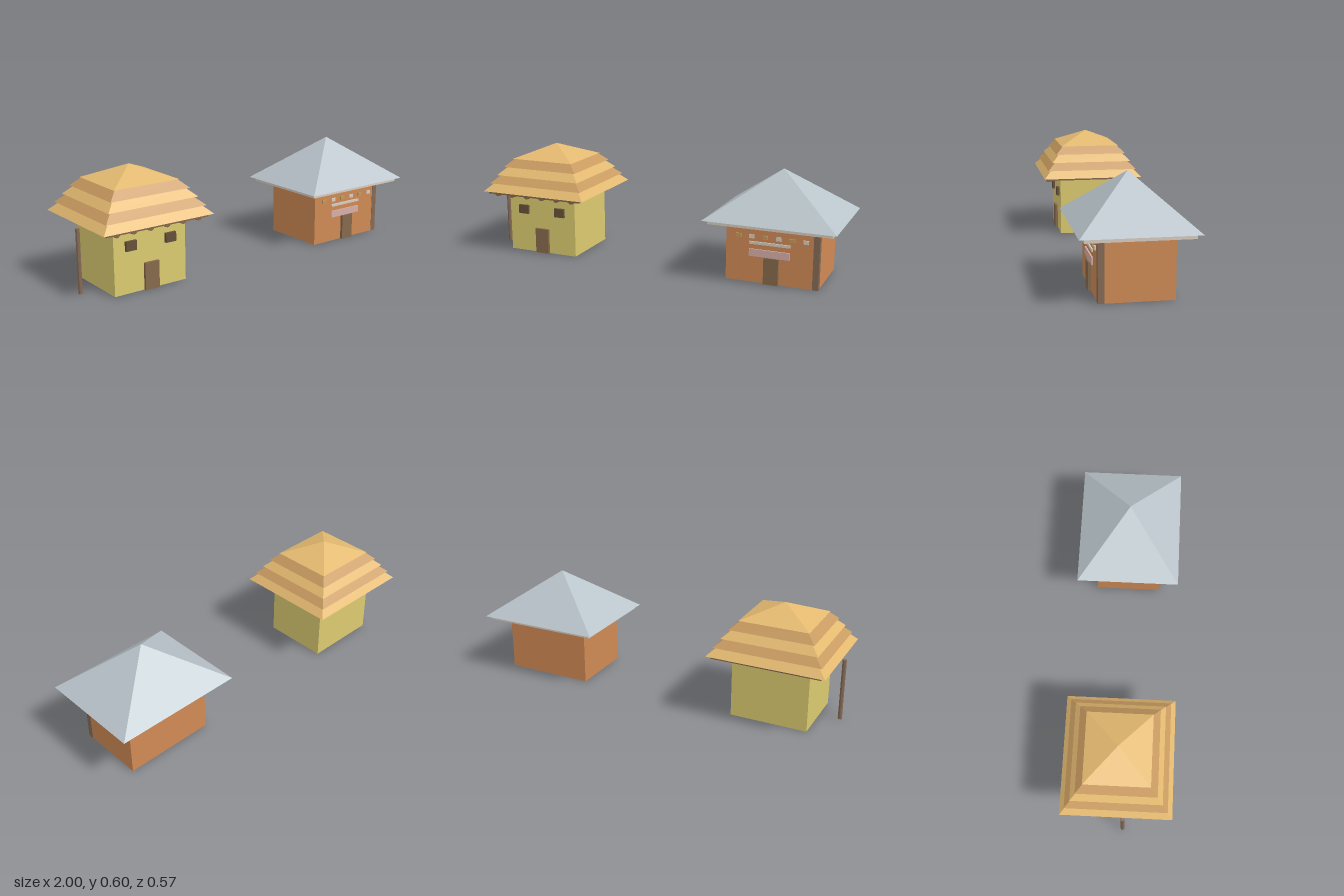
import * as THREE from 'three';

const material = (color) => new THREE.MeshStandardMaterial({ color, flatShading: true });
const mats = {
  straw: material(0xe3b970),
  strawDark: material(0xc99b60),
  plaster: material(0xdccb70),
  brick: material(0xd08a55),
  slate: material(0xb9c4ca),
  cream: material(0xd8cec2),
  wood: material(0x86694c),
  darkWood: material(0x665038),
  post: material(0x866a55),
  sign: material(0xd8b0a8),
  tan: material(0xc49a5c),
};

function add(parent, name, geometry, mat, x, y, z) {
  const mesh = new THREE.Mesh(geometry, mat);
  mesh.name = name;
  mesh.position.set(x, y, z);
  parent.add(mesh);
  return mesh;
}

// Box given by its centre in x and z and its bottom and top heights
function box(parent, name, mat, w, d, y0, y1, x = 0, z = 0) {
  return add(parent, name, new THREE.BoxGeometry(w, y1 - y0, d), mat, x, (y0 + y1) / 2, z);
}

// Rectangular frustum or pyramid; top is a fraction of the base size
function hip(parent, name, mat, halfX, halfZ, top, y0, y1) {
  const g = new THREE.CylinderGeometry(top * Math.SQRT2, Math.SQRT2, y1 - y0, 4);
  g.rotateY(Math.PI / 4).scale(halfX, 1, halfZ);
  return add(parent, name, g, mat, 0, (y0 + y1) / 2, 0);
}

function thatchedHut() {
  const hut = new THREE.Group();
  hut.name = 'thatchedHut';
  box(hut, 'hutWalls', mats.plaster, 0.41, 0.36, 0, 0.345);
  box(hut, 'hutDoor', mats.wood, 0.08, 0.03, 0, 0.14, 0, 0.18);
  for (const side of [-1, 1]) {
    box(hut, 'hutWindow', mats.darkWood, 0.059, 0.03, 0.219, 0.268, side * 0.113, 0.18);
  }

  // Eave frame with rounded rafter ends along the front
  box(hut, 'eaveFrame', mats.wood, 0.572, 0.54, 0.336, 0.35);
  for (let i = 0; i < 6; i++) {
    const g = new THREE.CylinderGeometry(0.018, 0.018, 0.03, 10).rotateX(Math.PI / 2);
    add(hut, 'rafterEnd', g, mats.wood, (i - 2.5) * 0.0925, 0.342, 0.252);
  }

  // Straw tiers from the eaves up: half depth at the base and at the top
  const tiers = [[0.285, 0.243], [0.26, 0.215], [0.232, 0.189], [0.205, 0.162], [0.169, 0]];
  tiers.forEach(([base, top], i) => {
    const y0 = 0.349 + i * 0.0433;
    const y1 = i === 4 ? 0.597 : y0 + 0.0433;
    hip(hut, 'strawTier', i % 2 ? mats.strawDark : mats.straw, base * 1.088, base, top / base, y0, y1);
  });

  // Free-standing pole beside the hut
  add(hut, 'pole', new THREE.CylinderGeometry(0.011, 0.011, 0.33, 8), mats.post, -0.313, 0.165, 0.035);
  return hut;
}

function brickHouse() {
  const house = new THREE.Group();
  house.name = 'brickHouse';
  box(house, 'houseWalls', mats.brick, 0.485, 0.36, 0, 0.303);
  box(house, 'houseDoor', mats.wood, 0.077, 0.03, 0, 0.14, 0, 0.18);
  box(house, 'cornerPost', mats.post, 0.031, 0.031, 0, 0.303, 0.2285, 0.1665);

  // Plain board and trim above the door
  box(house, 'doorBoard', mats.sign, 0.213, 0.02, 0.14, 0.178, -0.012, 0.177);
  box(house, 'wallTrim', mats.cream, 0.213, 0.02, 0.204, 0.218, -0.012, 0.177);

  // Row of small blocks in alternating colours
  for (let i = 0; i < 6; i++) {
    box(house, 'wallBlock', i % 2 ? mats.cream : mats.tan, 0.027, 0.02, 0.234, 0.253, (i - 2.5) * 0.07, 0.177);
  }

  box(house, 'cornice', mats.cream, 0.642, 0.51, 0.302, 0.324);
  hip(house, 'slateRoof', mats.slate, 0.344, 0.28, 0, 0.323, 0.566);
  return house;
}

export function createModel() {
  const model = new THREE.Group();
  model.name = 'twoHouses';
  const hut = thatchedHut();
  hut.position.x = -0.676;
  const house = brickHouse();
  house.position.x = 0.654;
  model.add(hut, house);
  return model;
}
